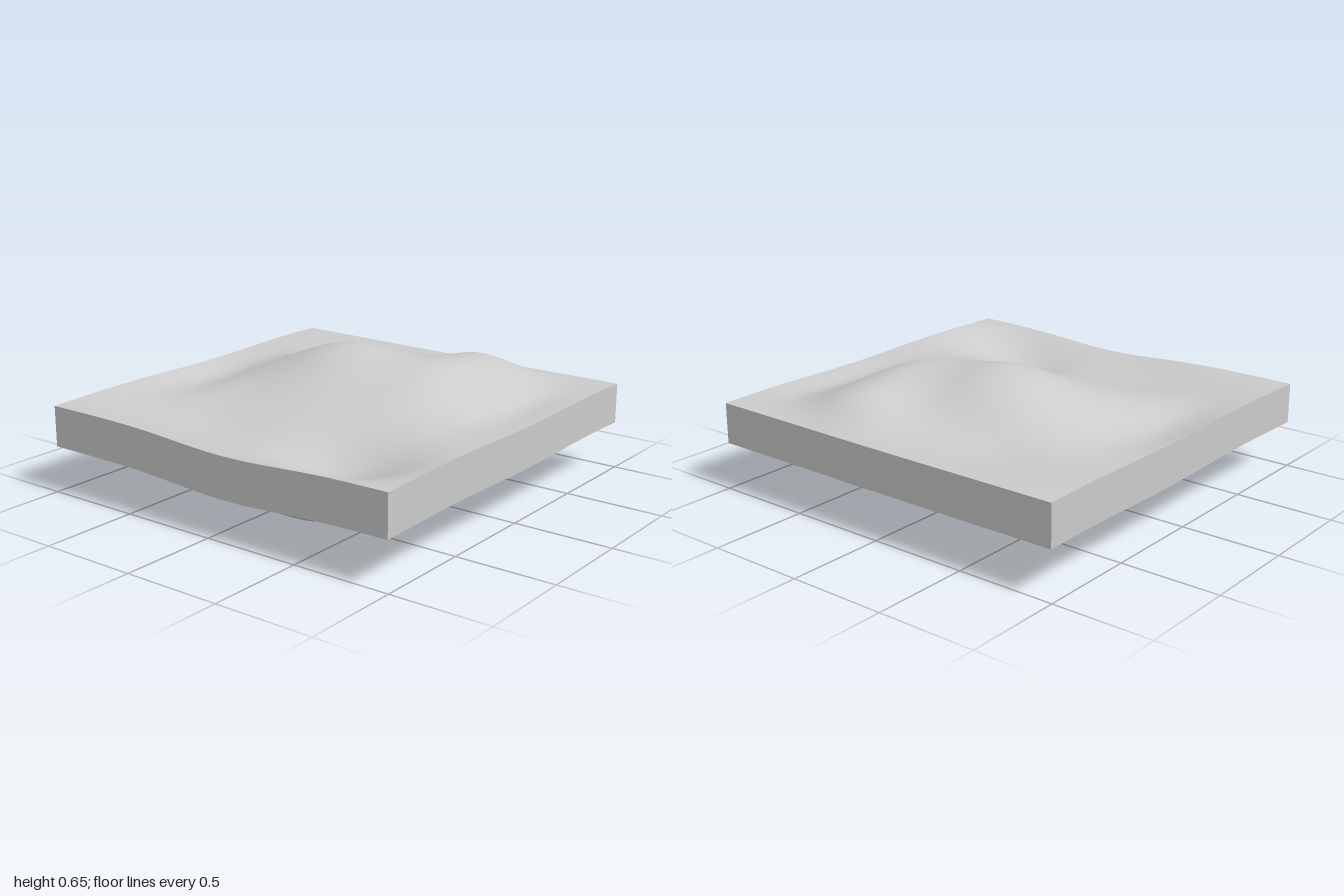
import * as THREE from 'three';

const N = 72, HX = 0.995, HZ = 0.99;

// Soft mounds and hollows: [x, z, height, radius x, radius z]
const TOP = [
  [0.2, -0.1, 0.2, 0.4, 0.43],
  [0.34, 0.42, 0.105, 0.42, 0.25],
  [0.75, 0.32, 0.075, 0.22, 0.26],
  [0.35, 0.82, -0.03, 0.4, 0.14],
  [-0.1, -0.82, -0.055, 0.4, 0.2],
  [-0.68, 0.52, -0.13, 0.28, 0.34],
  [-0.7, -0.25, -0.065, 0.27, 0.5],
  [0.68, -0.4, -0.035, 0.2, 0.32],
];
const BOTTOM = [
  [0.5, -0.36, -0.23, 0.3, 0.36],
  [-0.1, -0.43, -0.19, 0.34, 0.31],
  [0.25, -0.7, -0.06, 0.35, 0.18],
  [-0.66, 0.35, -0.13, 0.24, 0.3],
  [-0.35, 0.33, -0.12, 0.25, 0.28],
  [-0.25, -0.02, -0.11, 0.25, 0.18],
  [-0.75, -0.1, -0.06, 0.25, 0.4],
  [-0.1, 0.37, -0.065, 0.16, 0.18],
  [0.2, 0.5, -0.11, 0.18, 0.25],
  [0.68, 0.27, -0.1, 0.2, 0.25],
  [-0.5, 0.72, -0.09, 0.3, 0.2],
];

// Relief fades out towards the rim
const ease = (d) => 1 - Math.exp(-d / 0.1);
const fade = (x, z) => ease(HX - Math.abs(x)) * ease(HZ - Math.abs(z));

const relief = (bumps, x, z) => fade(x, z) * bumps.reduce((sum, [cx, cz, h, rx, rz]) =>
  sum + h * Math.exp(-(((x - cx) / rx) ** 2) - ((z - cz) / rz) ** 2), 0);

// Gentle sag of the right-hand rim and a slight wave everywhere
const wave = (x, z) =>
  -0.04 * Math.exp(-(((x + 1) / 0.3) ** 2) - ((z - 0.1) / 0.45) ** 2) +
  0.005 * Math.sin(5 * x + 1) * Math.cos(3 * z);

const topY = (x, z) => 0.456 + wave(x, z) + relief(TOP, x, z);
const bottomY = (x, z) => 0.25 + wave(x, z) + relief(BOTTOM, x, z);

// Builds a grid surface from a rule giving a point for u, v in 0..1
function surface(name, nu, nv, point, material) {
  const geometry = new THREE.PlaneGeometry(1, 1, nu, nv);
  const pos = geometry.attributes.position;
  for (let i = 0; i < pos.count; i++) {
    pos.setXYZ(i, ...point(pos.getX(i) + 0.5, pos.getY(i) + 0.5));
  }
  geometry.computeVertexNormals();
  const mesh = new THREE.Mesh(geometry, material);
  mesh.name = name;
  return mesh;
}

export function createModel() {
  const group = new THREE.Group();
  group.name = 'terrainSlab';
  const material = new THREE.MeshStandardMaterial({ color: 0xcccccc });
  const X = (t) => (2 * t - 1) * HX;
  const Z = (t) => (2 * t - 1) * HZ;

  // Undulating upper and lower faces
  group.add(surface('upperSurface', N, N, (u, v) => {
    const x = X(u), z = -Z(v);
    return [x, topY(x, z), z];
  }, material));
  group.add(surface('lowerSurface', N, N, (u, v) => {
    const x = X(u), z = Z(v);
    return [x, bottomY(x, z), z];
  }, material));

  // Four upright walls joining the two faces
  const walls = {
    frontWall: (u) => [X(u), HZ],
    backWall: (u) => [-X(u), -HZ],
    leftWall: (u) => [HX, -Z(u)],
    rightWall: (u) => [-HX, Z(u)],
  };
  for (const [name, edge] of Object.entries(walls)) {
    group.add(surface(name, N, 1, (u, v) => {
      const [x, z] = edge(u);
      return [x, v > 0.5 ? topY(x, z) : bottomY(x, z), z];
    }, material));
  }

  // Rest the lowest point on the ground
  const box = new THREE.Box3().setFromObject(group);
  group.children.forEach((mesh) => mesh.geometry.translate(0, -box.min.y, 0));
  return group;
}
